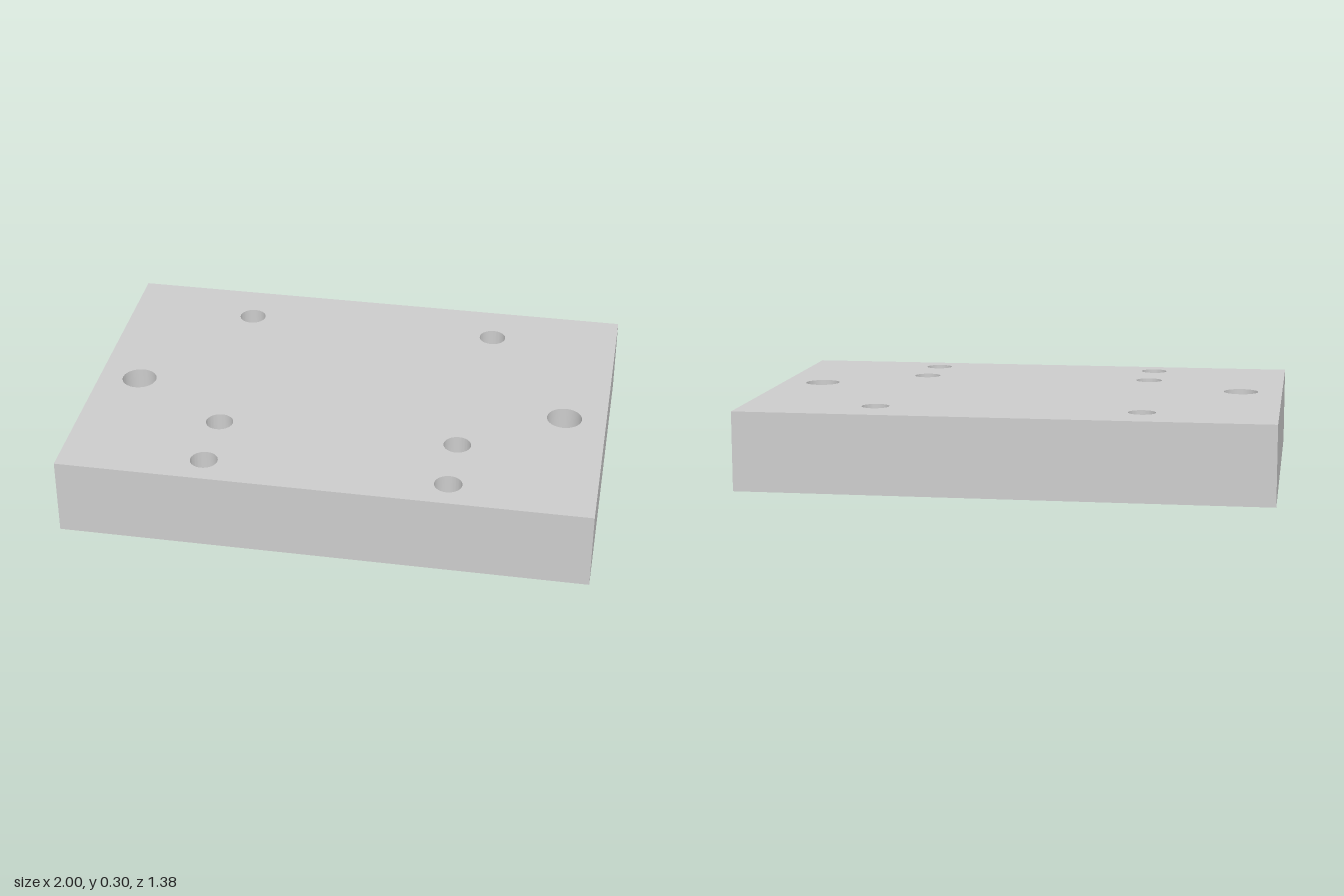
import * as THREE from 'three';
import { toCreasedNormals } from 'three/addons/utils/BufferGeometryUtils.js';

const WIDTH = 2, DEPTH = 1.376, HEIGHT = 0.3;

// Through holes, mirrored left and right: [x, z, radius]
const HOLES = [
  [0.5, -0.492, 0.052],
  [0.84, 0.058, 0.067],
  [0.458, 0.308, 0.052],
  [0.458, 0.568, 0.052],
];

export function createModel() {
  const model = new THREE.Group();
  model.name = 'mountingPlate';

  // Plate outline, drawn in plan with shape y pointing to -z
  const w = WIDTH / 2, d = DEPTH / 2;
  const outline = new THREE.Shape();
  outline.moveTo(-w, -d).lineTo(w, -d).lineTo(w, d).lineTo(-w, d).closePath();

  // Drilled holes
  for (const [x, z, radius] of HOLES) {
    for (const side of [-1, 1]) {
      const hole = new THREE.Path();
      hole.absarc(side * x, -z, radius, 0, Math.PI * 2, true);
      outline.holes.push(hole);
    }
  }

  // Extrude upwards, with smooth bores and sharp edges
  const extruded = new THREE.ExtrudeGeometry(outline, {
    depth: HEIGHT, bevelEnabled: false, curveSegments: 24,
  });
  extruded.rotateX(-Math.PI / 2);
  const plate = new THREE.Mesh(
    toCreasedNormals(extruded, Math.PI / 6),
    new THREE.MeshStandardMaterial({ color: 0xcccccc }),
  );
  plate.name = 'drilledPlate';
  model.add(plate);

  return model;
}
